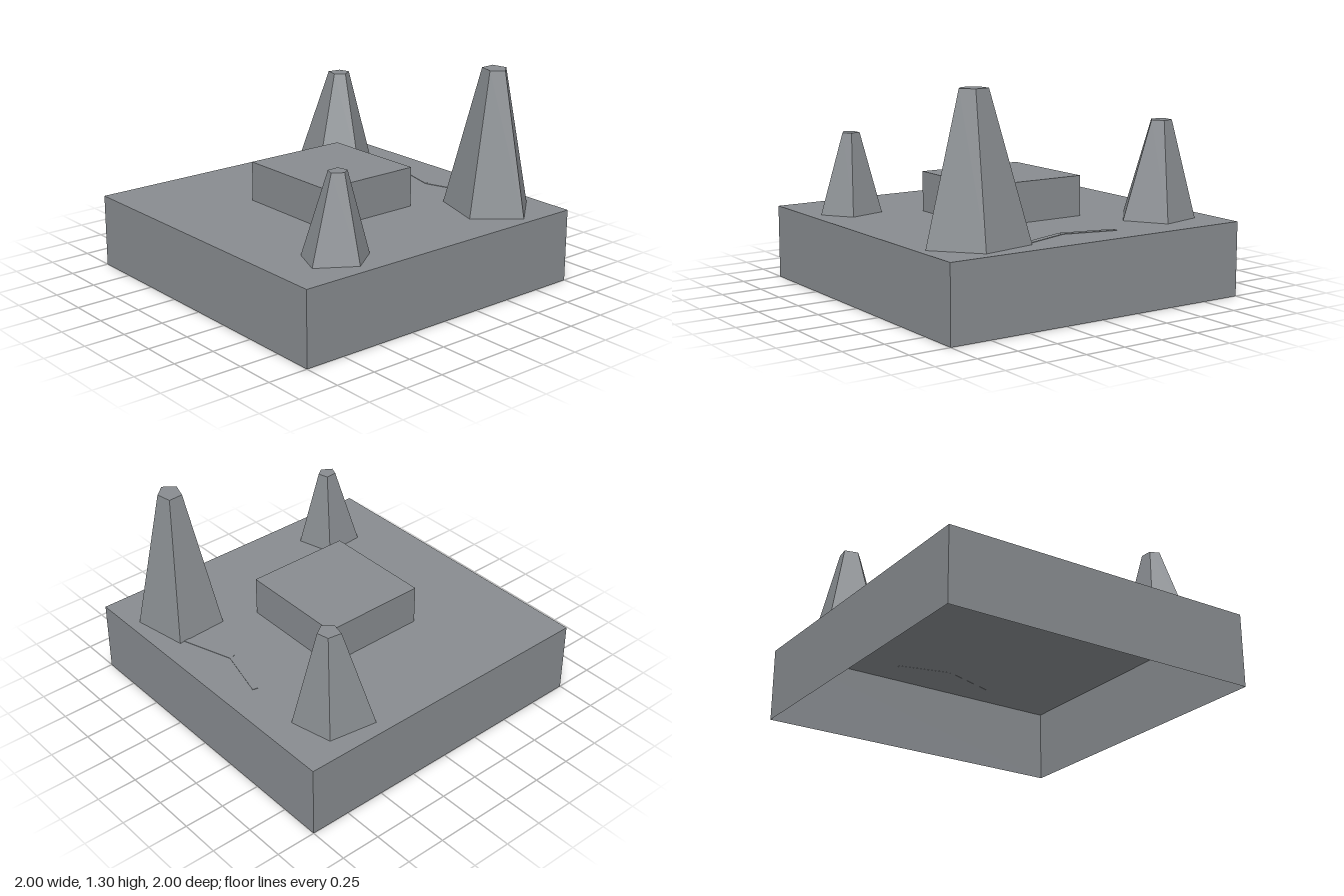
import * as THREE from 'three';

const GROUND = 0.45;

export function createModel() {
  const model = new THREE.Group();
  const stone = new THREE.MeshStandardMaterial({ color: 0x888c90, flatShading: true, side: THREE.DoubleSide });
  stone.name = 'grey stone';

  const add = (name, geometry, x = 0, y = 0, z = 0) => {
    const mesh = new THREE.Mesh(geometry, stone);
    mesh.name = name;
    mesh.position.set(x, y, z);
    model.add(mesh);
    return mesh;
  };

  // Ground slab: a hollow shell, open underneath
  const slab = new THREE.BoxGeometry(2, GROUND, 2);
  const index = Array.from(slab.index.array);
  index.splice(18, 6); // drop the bottom face
  slab.setIndex(index);
  slab.clearGroups();
  add('groundSlab', slab, 0, GROUND / 2, 0);

  // Low block in the middle
  add('centreBlock', new THREE.BoxGeometry(0.695, 0.245, 0.67), -0.002, GROUND + 0.1225, 0.01);

  // Irregular five-sided spire, its base outline shrunk towards a centre at the top
  const spire = (name, base, [cx, cz], top) => {
    const k = 0.28;
    const lower = base.map(([x, z]) => [x, GROUND, z]);
    const upper = base.map(([x, z]) => [cx + k * (x - cx), top, cz + k * (z - cz)]);
    const pos = [];
    base.forEach((_, i) => {
      const j = (i + 1) % base.length;
      pos.push(...lower[i], ...upper[i], ...upper[j], ...lower[i], ...upper[j], ...lower[j]);
      pos.push(cx, top, cz, ...upper[j], ...upper[i]);
    });
    // Corners run clockwise from above, so reverse each triangle to face outward
    for (let t = 0; t < pos.length; t += 9) {
      const a = pos.slice(t, t + 9);
      const ab = new THREE.Vector3(a[3] - a[0], a[4] - a[1], a[5] - a[2]);
      const ac = new THREE.Vector3(a[6] - a[0], a[7] - a[1], a[8] - a[2]);
      const out = new THREE.Vector3(a[0] + a[3] + a[6] - 3 * cx, a[1] + a[4] + a[7] - 3 * GROUND, a[2] + a[5] + a[8] - 3 * cz);
      if (ab.cross(ac).dot(out) < 0) pos.splice(t + 3, 6, ...a.slice(6), ...a.slice(3, 6));
    }
    const geometry = new THREE.BufferGeometry();
    geometry.setAttribute('position', new THREE.Float32BufferAttribute(pos, 3));
    geometry.computeVertexNormals();
    add(name, geometry);
  };

  spire('rightSpire', [[-0.61, -0.83], [-0.46, -0.6], [-0.62, -0.4], [-0.915, -0.47], [-0.87, -0.77]], [-0.707, -0.648], 1.04);
  spire('tallSpire', [[0.73, -0.93], [0.95, -0.675], [0.745, -0.43], [0.405, -0.54], [0.39, -0.87]], [0.664, -0.695], 1.305);
  spire('frontSpire', [[0.8, 0.395], [0.925, 0.57], [0.785, 0.79], [0.585, 0.71], [0.57, 0.457]], [0.72, 0.553], 0.94);

  // Thin bent strip on the ground, running into the tall spire
  const path = [[-0.245, -0.797], [0.08, -0.715], [0.45, -0.84]];
  for (let i = 0; i < path.length - 1; i++) {
    const [x0, z0] = path[i], [x1, z1] = path[i + 1];
    const strip = add('groundStrip', new THREE.BoxGeometry(Math.hypot(x1 - x0, z1 - z0), 0.004, 0.037),
      (x0 + x1) / 2, GROUND + 0.001, (z0 + z1) / 2);
    strip.rotation.y = -Math.atan2(z1 - z0, x1 - x0);
  }

  return model;
}
